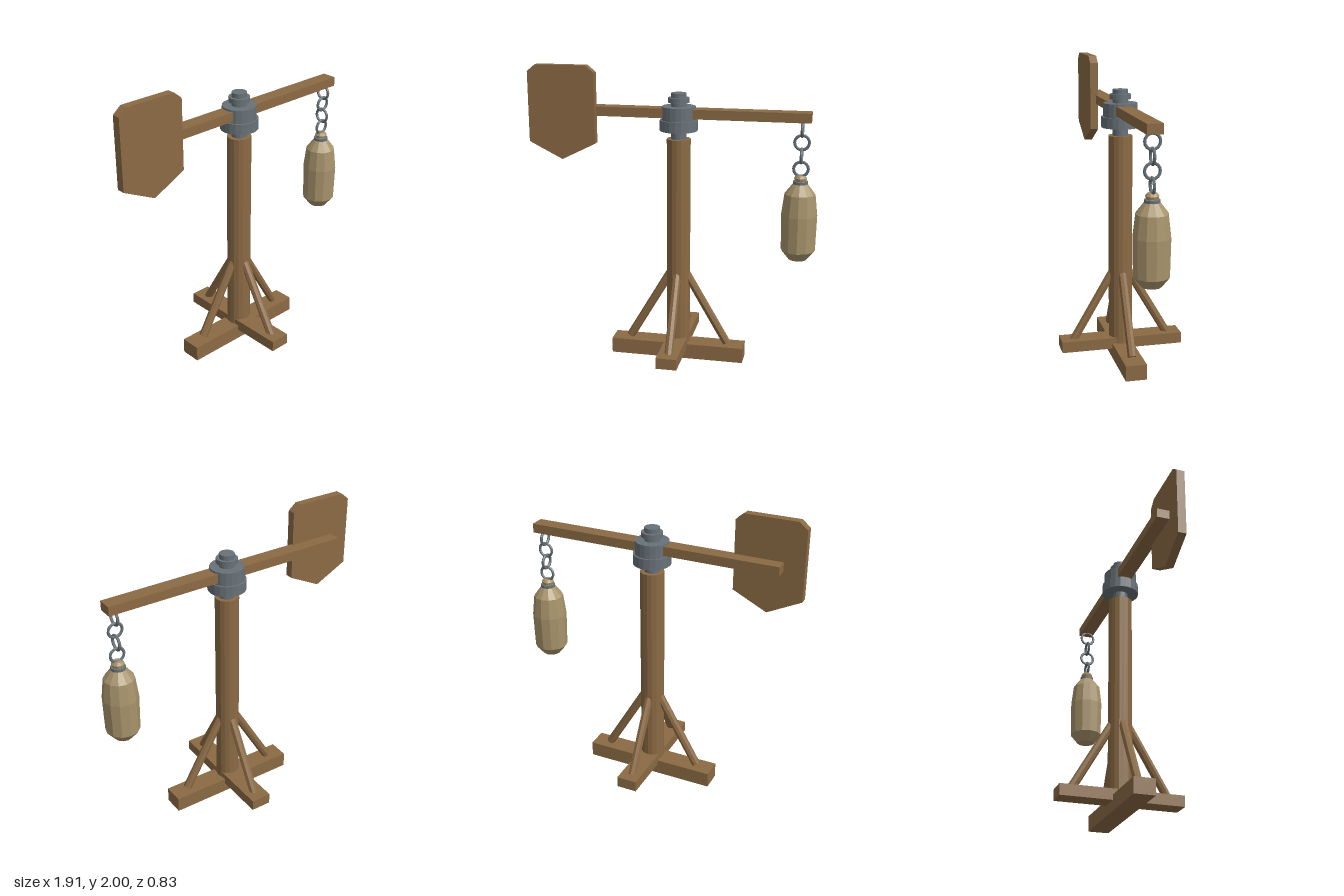
import * as THREE from 'three';

export function createModel() {
  const root = new THREE.Group();
  const mat = (color) => new THREE.MeshStandardMaterial({ color, flatShading: true });
  const wood = mat(0x8b6a44), metal = mat(0x687278), canvas = mat(0xa8946c);
  const CX = 0.037, BAG_X = 0.838;

  const add = (name, geo, material, x = 0, y = 0, z = 0, parent = root) => {
    const m = new THREE.Mesh(geo, material);
    m.name = name;
    m.position.set(x, y, z);
    parent.add(m);
    return m;
  };
  const box = (name, w, h, d, x, y, z) => add(name, new THREE.BoxGeometry(w, h, d), wood, x, y, z);
  const lathe = (name, pts, sides, material, x) =>
    add(name, new THREE.LatheGeometry(pts.map(([r, y]) => new THREE.Vector2(r, y)), sides), material, x);

  // Crossed base beams
  box('baseBeamSide', 0.915, 0.105, 0.14, CX, 0.0525, 0);
  box('baseBeamFront', 0.14, 0.075, 0.832, CX, 0.1075, 0);

  // Upright post
  add('post', new THREE.CylinderGeometry(0.08, 0.08, 1.43, 16), wood, CX, 0.815, 0);

  // Four slanted braces around the post
  const foot = new THREE.Vector3(0.338, 0.115, 0), head = new THREE.Vector3(0.05, 0.61, 0);
  const dir = head.clone().sub(foot);
  for (let i = 0; i < 4; i++) {
    const holder = new THREE.Group();
    holder.name = 'braceHolder';
    holder.position.x = CX;
    holder.rotation.y = i * Math.PI / 2;
    root.add(holder);
    const mid = foot.clone().add(head).multiplyScalar(0.5);
    const brace = add('brace', new THREE.CylinderGeometry(0.029, 0.029, dir.length(), 8),
      wood, mid.x, mid.y, 0, holder);
    brace.quaternion.setFromUnitVectors(new THREE.Vector3(0, 1, 0), dir.clone().normalize());
  }

  // Turning hub with spindle and collar
  lathe('spindle', [[0, 1.5], [0.05, 1.5], [0.05, 1.83], [0, 1.83]], 20, metal, CX);
  lathe('hub', [[0, 1.585], [0.125, 1.585], [0.125, 1.655], [0.112, 1.655], [0.112, 1.743], [0, 1.743]], 20, metal, CX);
  lathe('collar', [[0, 1.768], [0.07, 1.768], [0.07, 1.8], [0, 1.8]], 20, metal, CX);

  // Swinging arm
  box('arm', 1.722, 0.062, 0.1, 0.034, 1.7, 0);

  // Target board with clipped top corners and a pointed foot
  const board = new THREE.Shape([
    [-0.96, 1.49], [-0.735, 1.377], [-0.507, 1.49], [-0.507, 1.955],
    [-0.562, 2], [-0.905, 2], [-0.96, 1.955],
  ].map(([x, y]) => new THREE.Vector2(x, y)));
  add('targetBoard', new THREE.ExtrudeGeometry(board, { depth: 0.055, bevelEnabled: false }), wood, 0, 0, 0.034);

  // Chain, every other link turned a quarter
  for (let i = 0; i < 4; i++) {
    const link = add('chainLink', new THREE.TorusGeometry(0.047, 0.0095, 6, 16), metal, BAG_X, 1.622 - i * 0.086, 0);
    link.rotation.y = i % 2 ? 0 : Math.PI / 2;
  }

  // Counterweight sack and its tie
  lathe('sack', [[0, 0.757], [0.062, 0.757], [0.112, 0.82], [0.117, 1.06], [0.1, 1.2],
    [0.05, 1.265], [0.036, 1.285], [0.042, 1.305], [0.03, 1.322], [0, 1.322]], 12, canvas, BAG_X);
  lathe('sackTie', [[0.03, 1.265], [0.049, 1.265], [0.049, 1.284], [0.03, 1.284]], 12, metal, BAG_X);

  return root;
}
